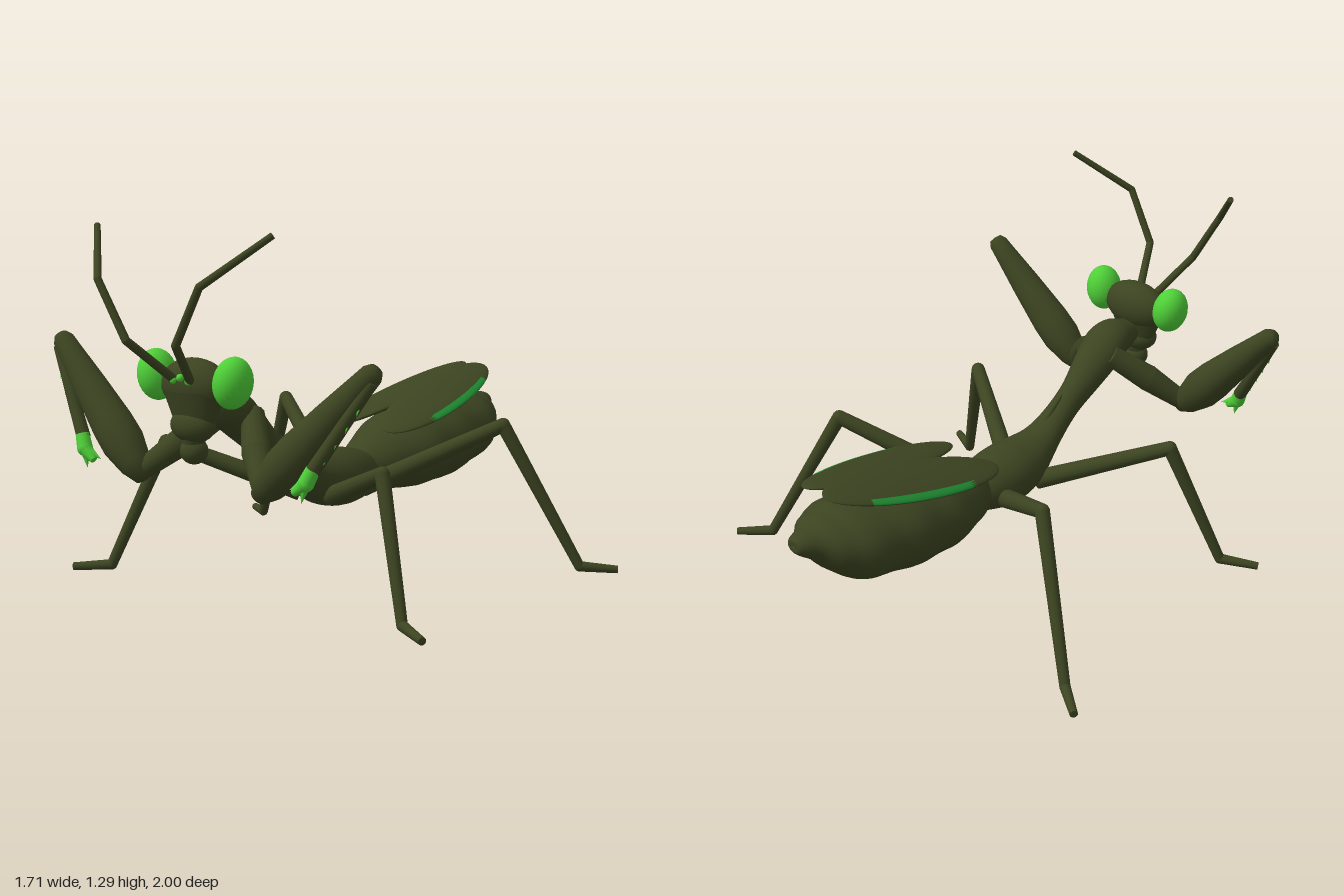
import * as THREE from 'three';
import { mergeGeometries } from 'three/addons/utils/BufferGeometryUtils.js';

const V = (x, y, z) => new THREE.Vector3(x, y, z);
const UP = V(0, 1, 0);

export function createModel() {
  const model = new THREE.Group();
  model.name = 'mantis';
  const mat = (name, color) => {
    const m = new THREE.MeshStandardMaterial({ color });
    m.name = name;
    return m;
  };
  const olive = mat('dark olive', 0x3c4421);
  const bright = mat('bright green', 0x4fd038);
  const stripe = mat('wing green', 0x1f8c32);

  const add = (name, geometry, material, parent = model) => {
    const mesh = new THREE.Mesh(geometry, material);
    mesh.name = name;
    parent.add(mesh);
    return mesh;
  };
  const ball = (c, r, w = 24, h = 16) =>
    new THREE.SphereGeometry(1, w, h).scale(r.x, r.y, r.z).translate(c.x, c.y, c.z);

  // Smooth body through elliptical sections [z, y, rx, ry], running towards +z
  function loft(sections, steps, bump = 0, sides = 28) {
    const centres = new THREE.CatmullRomCurve3(sections.map(s => V(0, s[1], s[0])), false, 'catmullrom');
    const radii = new THREE.CatmullRomCurve3(sections.map(s => V(s[2], s[3], 0)), false, 'catmullrom');
    const pos = [], idx = [];
    for (let i = 0; i <= steps; i++) {
      const t = i / steps, c = centres.getPoint(t), r = radii.getPoint(t);
      const k = 1 + bump * Math.sin(t * Math.PI * 14);
      for (let j = 0; j < sides; j++) {
        const a = j / sides * Math.PI * 2;
        pos.push(Math.cos(a) * r.x * k, c.y + Math.sin(a) * r.y * k, c.z);
        if (i === steps) continue;
        const n = (j + 1) % sides, p = i * sides, q = p + sides;
        idx.push(p + j, p + n, q + n, p + j, q + n, q + j);
      }
    }
    const g = new THREE.BufferGeometry();
    g.setAttribute('position', new THREE.Float32BufferAttribute(pos, 3));
    g.setIndex(idx);
    g.computeVertexNormals();
    return g;
  }

  // Places a geometry made along +y from the origin so that it runs from a to b
  const aim = (g, a, b) => g
    .applyQuaternion(new THREE.Quaternion().setFromUnitVectors(UP, b.clone().sub(a).normalize()))
    .translate(a.x, a.y, a.z);

  // Tapered jointed limb through points, with one radius per point
  function limb(points, radii) {
    const parts = [];
    for (let i = 0; i < points.length - 1; i++) {
      const a = points[i], b = points[i + 1], len = a.distanceTo(b);
      parts.push(aim(new THREE.CylinderGeometry(radii[i + 1], radii[i], len, 14).translate(0, len / 2, 0), a, b));
      if (i) parts.push(ball(a, V(radii[i], radii[i], radii[i]), 14, 10));
    }
    return mergeGeometries(parts);
  }
  const spike = (a, b, r) => {
    const len = a.distanceTo(b);
    return aim(new THREE.ConeGeometry(r, len, 8).translate(0, len / 2, 0), a, b);
  };

  // Abdomen with gentle segment ridges
  add('abdomen', loft([
    [-1, 0.5, 0.001, 0.001], [-0.995, 0.5, 0.035, 0.028], [-0.94, 0.485, 0.07, 0.055],
    [-0.88, 0.46, 0.13, 0.092], [-0.8, 0.435, 0.18, 0.13], [-0.65, 0.415, 0.203, 0.147],
    [-0.5, 0.4, 0.205, 0.152], [-0.35, 0.385, 0.185, 0.133], [-0.2, 0.365, 0.12, 0.1],
    [-0.1, 0.355, 0.06, 0.06],
  ], 72, 0.018), olive);

  // Thorax rising into the long neck
  add('thorax', loft([
    [-0.2, 0.35, 0.001, 0.001], [-0.16, 0.35, 0.075, 0.065], [-0.08, 0.35, 0.11, 0.096],
    [0.02, 0.355, 0.122, 0.106], [0.12, 0.366, 0.108, 0.094], [0.2, 0.395, 0.08, 0.077],
    [0.28, 0.445, 0.06, 0.068], [0.38, 0.52, 0.052, 0.068], [0.48, 0.6, 0.07, 0.083],
    [0.56, 0.66, 0.085, 0.088], [0.63, 0.69, 0.078, 0.072], [0.69, 0.69, 0.06, 0.055],
    [0.74, 0.69, 0.04, 0.04],
  ], 60), olive);
  add('thoraxRidge', ball(V(0, 0, 0), V(0.01, 0.01, 0.075), 12, 10)
    .rotateX(-0.66).translate(0, 0.512, 0.28), olive);

  // Head, face and mouth
  const head = new THREE.Group();
  head.name = 'head';
  model.add(head);
  add('skull', ball(V(0, 0.785, 0.765), V(0.135, 0.09, 0.073)), olive, head);
  add('face', new THREE.CylinderGeometry(0.125, 0.075, 0.12, 28).scale(1, 1, 0.55).translate(0, 0.71, 0.77), olive, head);
  add('muzzle', ball(V(0, 0.655, 0.778), V(0.085, 0.058, 0.058)), olive, head);
  add('mouth', ball(V(0, 0.57, 0.775), V(0.048, 0.045, 0.045)), olive, head);
  add('mouthStem', new THREE.CylinderGeometry(0.045, 0.035, 0.06, 16).translate(0, 0.61, 0.775), olive, head);
  for (const x of [-0.032, 0, 0.032])
    add('simpleEye', ball(V(x, x ? 0.808 : 0.818, x ? 0.835 : 0.838), V(0.013, 0.013, 0.013), 12, 8), bright, head);

  for (const s of [1, -1]) {
    const side = s > 0 ? 'left' : 'right';
    const P = (x, y, z) => V(s * x, y, z);

    // Eye and antenna
    add(side + 'Eye', ball(V(0, 0, 0), V(0.063, 0.086, 0.071)).rotateZ(s * -0.15)
      .translate(s * 0.162, 0.807, 0.768), bright, head);
    add(side + 'Antenna', limb(
      [P(0.035, 0.81, 0.83), P(0.105, 0.945, 0.975), P(0.213, 1.135, 0.985), P(0.37, 1.29, 0.82)],
      [0.015, 0.014, 0.013, 0.011]), olive, head);

    // Grasping foreleg
    const arm = new THREE.Group();
    arm.name = side + 'Foreleg';
    model.add(arm);
    add('upperArm', limb([P(0.06, 0.665, 0.545), P(0.16, 0.565, 0.65), P(0.265, 0.465, 0.745)],
      [0.04, 0.05, 0.035]), olive, arm);
    const elbow = P(0.245, 0.44, 0.75), wrist = P(0.675, 0.89, 0.7);
    const profile = [[0, 0], [0.03, 0.005], [0.055, 0.06], [0.074, 0.15], [0.073, 0.23],
      [0.058, 0.4], [0.043, 0.54], [0.037, 0.6], [0.025, 0.622], [0, 0.626]];
    add('forearm', aim(new THREE.LatheGeometry(
      profile.map(p => new THREE.Vector2(p[0], p[1])), 20), elbow, wrist), olive, arm);
    const top = P(0.67, 0.85, 0.715), low = P(0.49, 0.56, 0.785);
    add('foldedShin', limb([top, low], [0.018, 0.024]), olive, arm);
    const spikes = [];
    for (const t of [0.18, 0.36, 0.54, 0.72, 0.88]) {
      const a = top.clone().lerp(low, t);
      spikes.push(spike(a, a.clone().add(P(-0.005, -0.055, 0.02)), 0.012));
    }
    add('spikes', mergeGeometries(spikes), bright, arm);
    add('claw', limb([P(0.495, 0.57, 0.785), P(0.475, 0.525, 0.795), P(0.43, 0.49, 0.8)],
      [0.024, 0.027, 0.012]), bright, arm);
    add('clawTips', mergeGeometries([
      spike(P(0.475, 0.525, 0.795), P(0.46, 0.46, 0.8), 0.02),
      spike(P(0.46, 0.52, 0.795), P(0.405, 0.495, 0.79), 0.018),
    ]), bright, arm);

    // Walking legs
    add(side + 'MiddleLeg', limb(
      [P(0.07, 0.31, 0.12), P(0.475, 0.485, 0.385), P(0.64, 0.03, 0.505), P(0.765, 0.018, 0.575)],
      [0.036, 0.026, 0.019, 0.014]), olive);
    add(side + 'HindLeg', limb(
      [P(0.07, 0.31, -0.06), P(0.495, 0.545, -0.335), P(0.735, 0.03, -0.485), P(0.845, 0.018, -0.568)],
      [0.036, 0.026, 0.019, 0.014]), olive);

    // Wing: flat leaf, with faces along its outer upper edge grouped as the stripe
    const wing = new THREE.SphereGeometry(1, 36, 32).rotateX(Math.PI / 2).toNonIndexed();
    const p = wing.attributes.position;
    for (let i = 0; i < p.count; i += 3) {
      const c = V(0, 0, 0);
      for (let k = 0; k < 3; k++) c.add(V().fromBufferAttribute(p, i + k));
      c.divideScalar(3);
      const angle = Math.atan2(c.y, s * c.x);
      const green = c.z > -0.62 && c.z < 0.52 && angle > 0 && angle < 0.7;
      wing.addGroup(i, 3, green ? 1 : 0);
    }
    wing.scale(0.118, 0.022, 0.382).rotateZ(s * -0.15).rotateX(0.205).rotateY(s * 0.1)
      .translate(s * 0.082, 0.582, -0.525);
    add(side + 'Wing', wing, [olive, stripe]);
  }
  return model;
}
